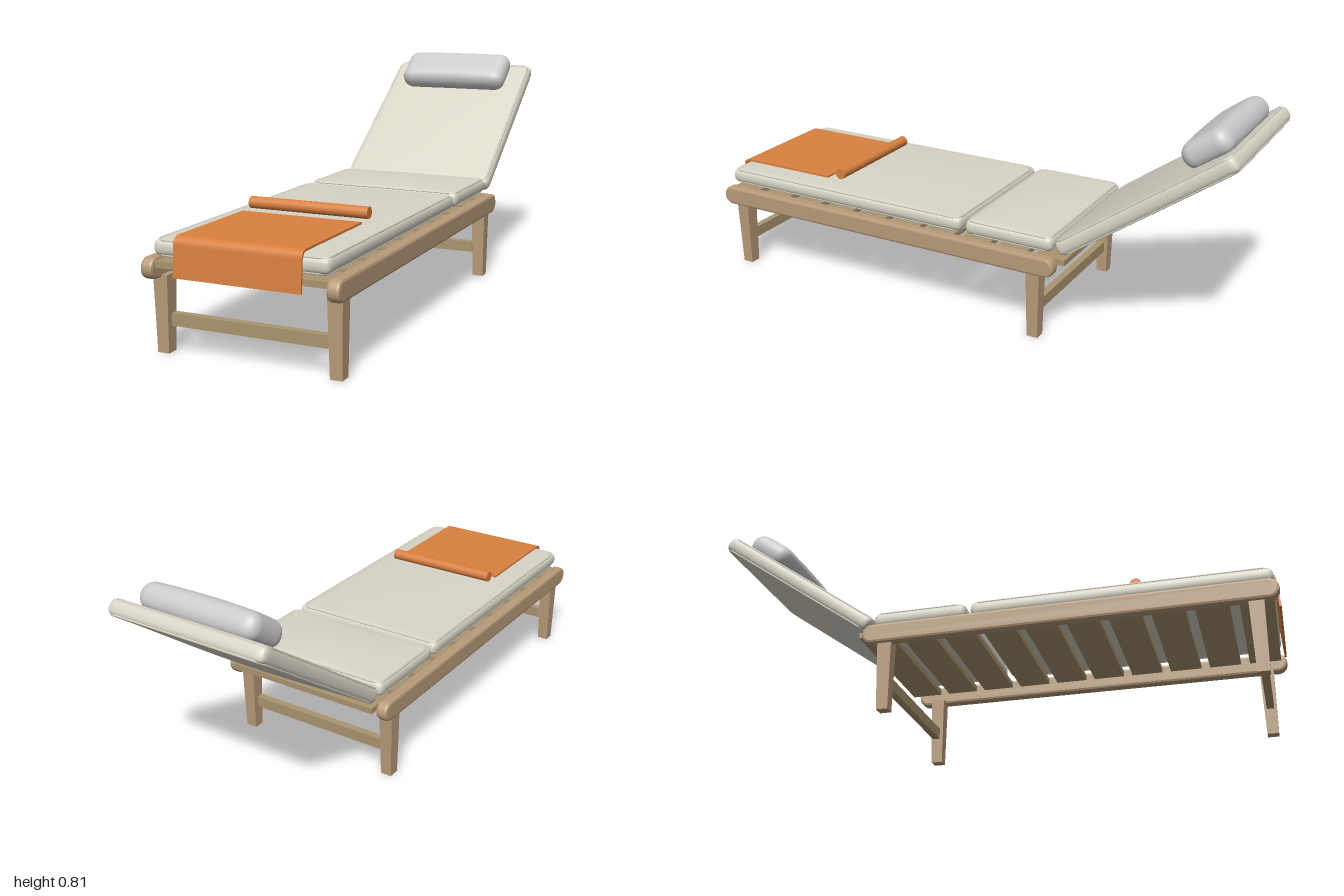
import * as THREE from 'three';
import { mergeVertices } from 'three/addons/utils/BufferGeometryUtils.js';

const material = (color) => new THREE.MeshStandardMaterial({ color });
const wood = material(0xb89b7a);
const slatWood = material(0xab9570);
const fabric = material(0xd8d4c6);
const grey = material(0xcccccc);
const orange = material(0xd9803f);

function add(parent, name, geometry, mat, x = 0, y = 0, z = 0) {
  const mesh = new THREE.Mesh(geometry, mat);
  mesh.name = name;
  mesh.position.set(x, y, z);
  parent.add(mesh);
  return mesh;
}

// Rounded, upholstered block: grid packed towards the edges, rounded by r, crowned top and bottom
function softBox(w, h, d, r, crown) {
  const geo = new THREE.BoxGeometry(1, 1, 1, 28, 8, 28);
  geo.deleteAttribute('uv');
  geo.deleteAttribute('normal');
  const half = new THREE.Vector3(w / 2, h / 2, d / 2);
  const core = half.clone().subScalar(r);
  const pos = geo.attributes.position;
  const p = new THREE.Vector3();
  const c = new THREE.Vector3();
  for (let i = 0; i < pos.count; i++) {
    p.fromBufferAttribute(pos, i);
    p.set(Math.sin(Math.PI * p.x), Math.sin(Math.PI * p.y), Math.sin(Math.PI * p.z)).multiply(half);
    c.copy(p).clamp(core.clone().negate(), core);
    p.sub(c).setLength(r).add(c);
    const u = p.x / half.x, v = p.z / half.z;
    p.y += (p.y / half.y) * crown * (1 - u * u) * (1 - v * v);
    pos.setXYZ(i, p.x, p.y, p.z);
  }
  const merged = mergeVertices(geo, 1e-5);
  merged.computeVertexNormals();
  return merged;
}

// Closed rounded-rectangle piping lying in the xz plane
function piping(w, d, corner, radius) {
  const path = new THREE.CurvePath();
  const pts = [];
  [[1, 1], [-1, 1], [-1, -1], [1, -1]].forEach(([sx, sz], k) => {
    for (let i = 0; i <= 4; i++) {
      const a = (k + i / 4) * Math.PI / 2;
      pts.push(new THREE.Vector3(
        sx * (w / 2 - corner) + corner * Math.cos(a), 0,
        sz * (d / 2 - corner) + corner * Math.sin(a)));
    }
  });
  pts.forEach((p, i) => path.add(new THREE.LineCurve3(p, pts[(i + 1) % pts.length])));
  return new THREE.TubeGeometry(path, 160, radius, 6, true);
}

function cushion(name, w, h, d) {
  const group = new THREE.Group();
  group.name = name;
  add(group, 'cushionBody', softBox(w, h, d, 0.022, 0.012), fabric);
  for (const s of [-1, 1]) {
    add(group, 'piping', piping(w - 0.02, d - 0.02, 0.025, 0.004), fabric, 0, s * (h / 2 - 0.003), 0);
  }
  return group;
}

// Extrudes a side profile drawn as (z, y) across the width, centred on x
function extrudeAcross(shape, width, bevel = 0) {
  const geo = new THREE.ExtrudeGeometry(shape, {
    depth: width - 2 * bevel, curveSegments: 10,
    bevelEnabled: bevel > 0, bevelSize: bevel, bevelThickness: bevel, bevelSegments: 2,
  });
  geo.rotateY(-Math.PI / 2);
  geo.translate(width / 2 - bevel, 0, 0);
  return geo;
}

export function createModel() {
  const model = new THREE.Group();
  model.name = 'sunLounger';

  // Side rails with rounded ends
  const bevel = 0.009, r = 0.035 - bevel, railY = 0.275;
  const rail = new THREE.Shape();
  rail.absarc(0.961, railY, r, -Math.PI / 2, Math.PI / 2, false);
  rail.absarc(-0.374, railY, r, Math.PI / 2, Math.PI * 1.5, false);
  const railGeo = extrudeAcross(rail, 0.042, bevel);

  // Tapered square legs
  const legGeo = new THREE.CylinderGeometry(0.025 * Math.SQRT2, 0.02 * Math.SQRT2, 0.25, 4).toNonIndexed();
  legGeo.rotateY(Math.PI / 4);
  legGeo.computeVertexNormals();

  for (const side of [1, -1]) {
    add(model, side > 0 ? 'leftRail' : 'rightRail', railGeo, wood, side * 0.311, 0, 0);
    add(model, 'frontLeg', legGeo, wood, side * 0.295, 0.125, 0.92);
    add(model, 'rearLeg', legGeo, wood, side * 0.295, 0.125, -0.328);
  }

  // Stretchers between each pair of legs
  const bar = new THREE.Shape([[-0.009, -0.016], [0.009, -0.016], [0.009, 0.016], [-0.009, 0.016]]
    .map(([a, b]) => new THREE.Vector2(a, b)));
  const barGeo = extrudeAcross(bar, 0.536, 0.004);
  for (const z of [0.92, -0.328]) add(model, 'stretcher', barGeo, slatWood, 0, 0.109, z);

  // Slatted deck
  const slatGeo = new THREE.BoxGeometry(0.582, 0.02, 0.112);
  for (let i = 0; i < 10; i++) add(model, 'slat', slatGeo, slatWood, 0, 0.29, 0.92 - i * 0.144);

  // Flat cushions
  const legCushion = cushion('legCushion', 0.592, 0.052, 1.015);
  legCushion.position.set(0, 0.343, 0.474);
  const seatCushion = cushion('seatCushion', 0.592, 0.052, 0.335);
  seatCushion.position.set(0, 0.343, -0.217);
  model.add(legCushion, seatCushion);

  // Reclined back cushion with head pillow
  const back = new THREE.Group();
  back.name = 'backrest';
  back.position.set(0, 0.537, -0.692);
  back.rotation.x = THREE.MathUtils.degToRad(35.5);
  back.add(cushion('backCushion', 0.598, 0.055, 0.712));
  add(back, 'headPillow', softBox(0.45, 0.088, 0.178, 0.042, 0.008), grey, 0, 0.067, -0.252);
  model.add(back);

  // Towel draped over the foot end
  const towel = new THREE.Shape();
  towel.moveTo(0.585, 0.379);
  towel.lineTo(0.955, 0.379);
  towel.quadraticCurveTo(0.98, 0.379, 0.983, 0.355);
  towel.lineTo(0.989, 0.26);
  towel.lineTo(0.996, 0.26);
  towel.lineTo(0.989, 0.36);
  towel.quadraticCurveTo(0.986, 0.386, 0.957, 0.386);
  towel.lineTo(0.585, 0.386);
  add(model, 'towel', extrudeAcross(towel, 0.428), orange);

  // Rolled towel
  const roll = new THREE.CylinderGeometry(0.02, 0.02, 0.428, 24);
  roll.rotateZ(Math.PI / 2);
  add(model, 'towelRoll', roll, orange, 0, 0.404, 0.528);

  return model;
}
